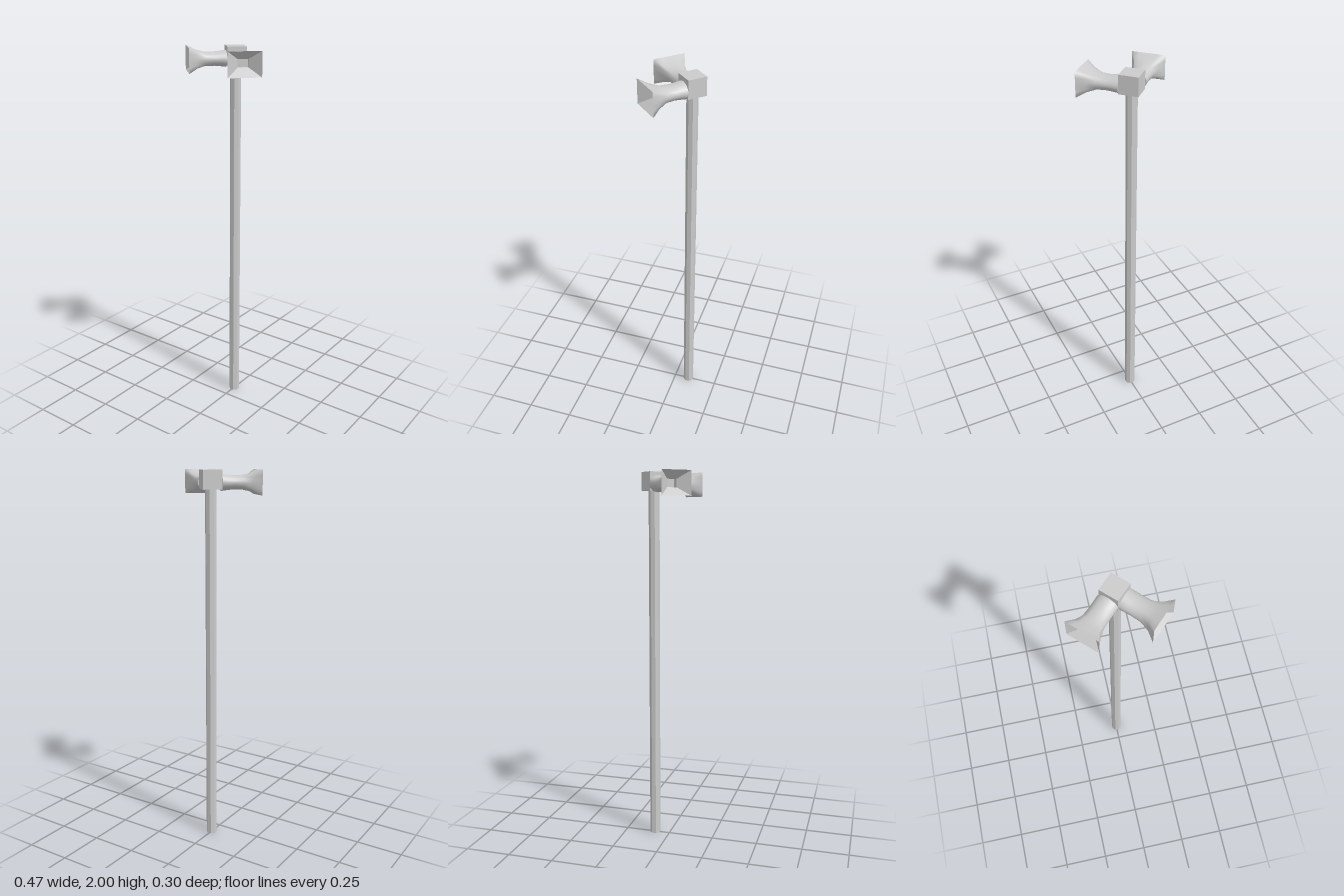
import * as THREE from 'three';

const SIDES = 24;

// Skin over cross-sections [z, halfWidth, halfHeight, squareness], optionally closed at either end
function loft(sections, capStart, capEnd) {
  const pos = [], idx = [];
  const addRing = ([z, w, h, k]) => {
    const start = pos.length / 3;
    for (let i = 0; i < SIDES; i++) {
      const a = (i / SIDES) * Math.PI * 2;
      const c = Math.cos(a), s = Math.sin(a);
      const f = 1 - k + k / Math.max(Math.abs(c), Math.abs(s));
      pos.push(c * f * w, s * f * h, z);
    }
    return start;
  };
  const addCap = (section, flip) => {
    const r = addRing(section), centre = pos.length / 3;
    pos.push(0, 0, section[0]);
    for (let i = 0; i < SIDES; i++) {
      const p = r + i, q = r + (i + 1) % SIDES;
      if (flip) idx.push(centre, q, p);
      else idx.push(centre, p, q);
    }
  };
  const rings = sections.map(addRing);
  for (let j = 0; j < rings.length - 1; j++) {
    for (let i = 0; i < SIDES; i++) {
      const n = (i + 1) % SIDES;
      const a = rings[j] + i, b = rings[j] + n, c = rings[j + 1] + n, d = rings[j + 1] + i;
      idx.push(a, b, c, a, c, d);
    }
  }
  if (capStart) addCap(sections[0], true);
  if (capEnd) addCap(sections[sections.length - 1], false);
  const geo = new THREE.BufferGeometry();
  geo.setAttribute('position', new THREE.Float32BufferAttribute(pos, 3));
  geo.setIndex(idx);
  geo.computeVertexNormals();
  return geo;
}

export function createModel() {
  const model = new THREE.Group();
  model.name = 'loudspeakerPole';
  const smooth = new THREE.MeshStandardMaterial({ color: 0xcccccc });
  const flat = new THREE.MeshStandardMaterial({ color: 0xcccccc, flatShading: true });

  const add = (parent, name, geo, mat) => {
    const mesh = new THREE.Mesh(geo, mat);
    mesh.name = name;
    parent.add(mesh);
    return mesh;
  };

  // Pole
  const pole = add(model, 'pole', new THREE.CylinderGeometry(0.029, 0.029, 1.91, 8), flat);
  pole.position.set(0, 0.955, -0.083);
  pole.rotation.y = Math.PI / 8;

  // Mounting block, turned so two faces carry the horns
  const block = add(model, 'mountingBlock', new THREE.BoxGeometry(0.098, 0.095, 0.098), flat);
  block.position.set(0, 1.9525, -0.083);
  block.rotation.y = Math.PI / 4;

  // Horn shell: round at the back, waisted, flaring to a rectangular mouth
  const shell = loft([
    [0, 0.053, 0.042, 0],
    [0.03, 0.0525, 0.038, 0],
    [0.06, 0.052, 0.035, 0],
    [0.107, 0.054, 0.035, 0.15],
    [0.152, 0.064, 0.045, 0.65],
    [0.195, 0.0845, 0.0625, 1],
  ], true, false);

  // Horn inside: tapering funnel ending in a small square throat
  const funnel = loft([
    [0.195, 0.0845, 0.0625, 1],
    [0.145, 0.0275, 0.021, 1],
    [0.12, 0.0275, 0.021, 1],
  ], false, true);
  // The throat floor faces out of the mouth
  for (const side of [1, -1]) {
    const horn = new THREE.Group();
    horn.name = side > 0 ? 'leftHorn' : 'rightHorn';
    horn.position.set(side * 0.038, 1.9375, -0.049);
    horn.rotation.y = side * Math.PI / 4;
    add(horn, 'hornShell', shell, smooth);
    add(horn, 'hornFunnel', funnel, flat);
    model.add(horn);
  }
  return model;
}
